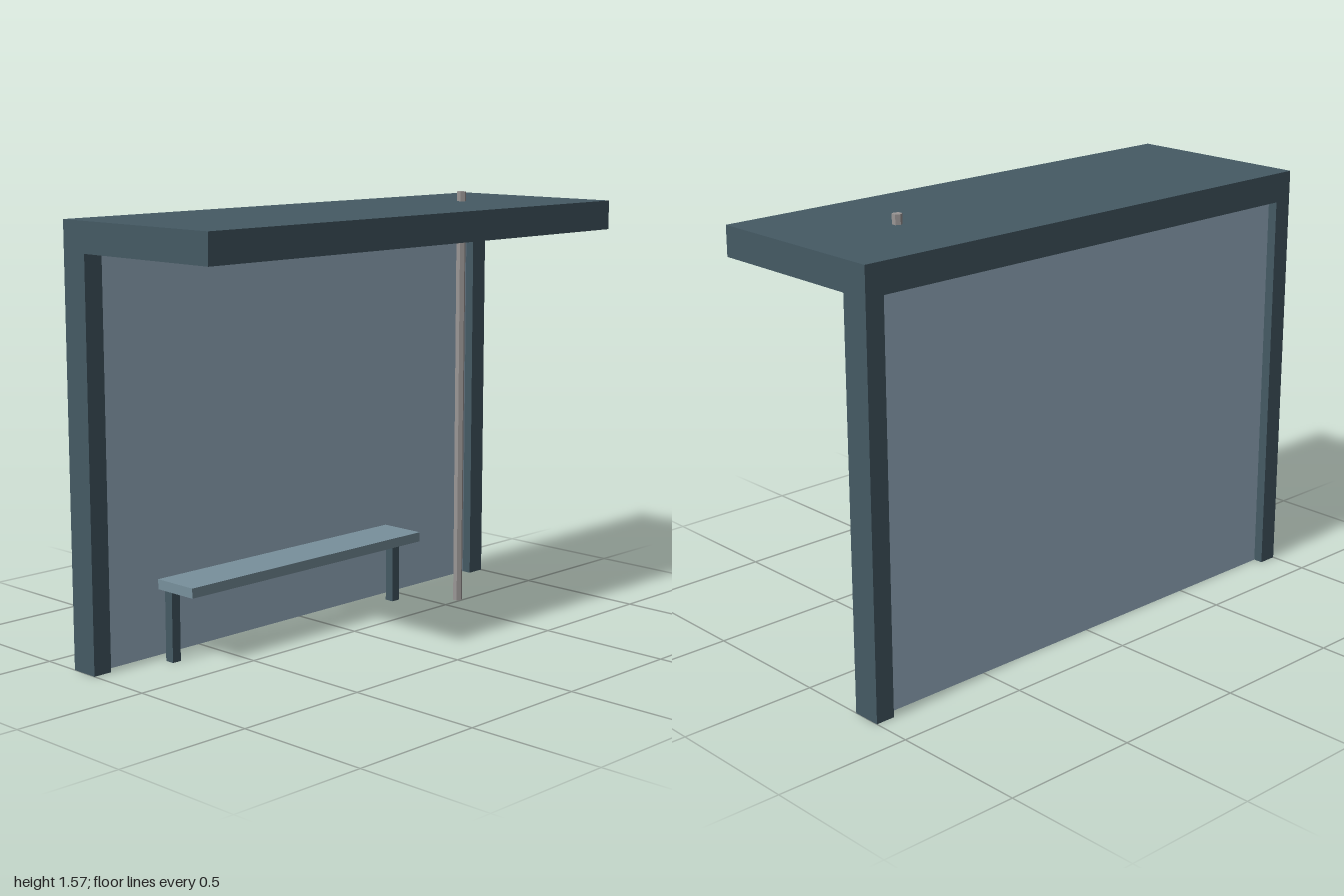
import * as THREE from 'three';

// Everything sits on a regular module: 56 units wide = 2
const U = 2 / 56;

function mat(name, color) {
  const m = new THREE.MeshStandardMaterial({ color });
  m.name = name;
  return m;
}

export function createModel() {
  const group = new THREE.Group();
  group.name = 'shelter';

  const frame = mat('dark slate frame', 0x455a64);
  const glass = mat('pale blue panel', 0xa0b8cc);
  const seat = mat('grey blue bench', 0x78909c);
  const metal = mat('grey metal', 0x9a9695);

  // Box given by its min and max corners in module units
  function box(name, material, [x0, y0, z0], [x1, y1, z1]) {
    const geo = new THREE.BoxGeometry((x1 - x0) * U, (y1 - y0) * U, (z1 - z0) * U);
    const mesh = new THREE.Mesh(geo, material);
    mesh.position.set((x0 + x1) * U / 2, (y0 + y1) * U / 2, (z0 + z1) * U / 2);
    mesh.name = name;
    group.add(mesh);
  }

  // Roof slab, rear posts and the panel set between them
  box('roof', frame, [-28, 40, -10], [28, 43, 10]);
  box('rightPost', frame, [-28, 0, -10], [-26, 40, -7]);
  box('leftPost', frame, [26, 0, -10], [28, 40, -7]);
  box('backPanel', glass, [-26, 0, -9], [26, 40, -8]);

  // Bench
  box('benchSeat', seat, [-20, 7, -7], [12, 8, -2]);
  box('benchRightLeg', frame, [-20, 0, -6], [-19, 7, -5]);
  box('benchLeftLeg', frame, [11, 0, -6], [12, 7, -5]);

  // Six-sided pole passing through the roof
  const poleGeo = new THREE.CylinderGeometry(U / 2, U / 2, 44 * U, 6).toNonIndexed();
  poleGeo.computeVertexNormals();
  const pole = new THREE.Mesh(poleGeo, metal);
  pole.position.set(16.5 * U, 22 * U, -0.5 * U);
  pole.name = 'signPole';
  group.add(pole);

  return group;
}
